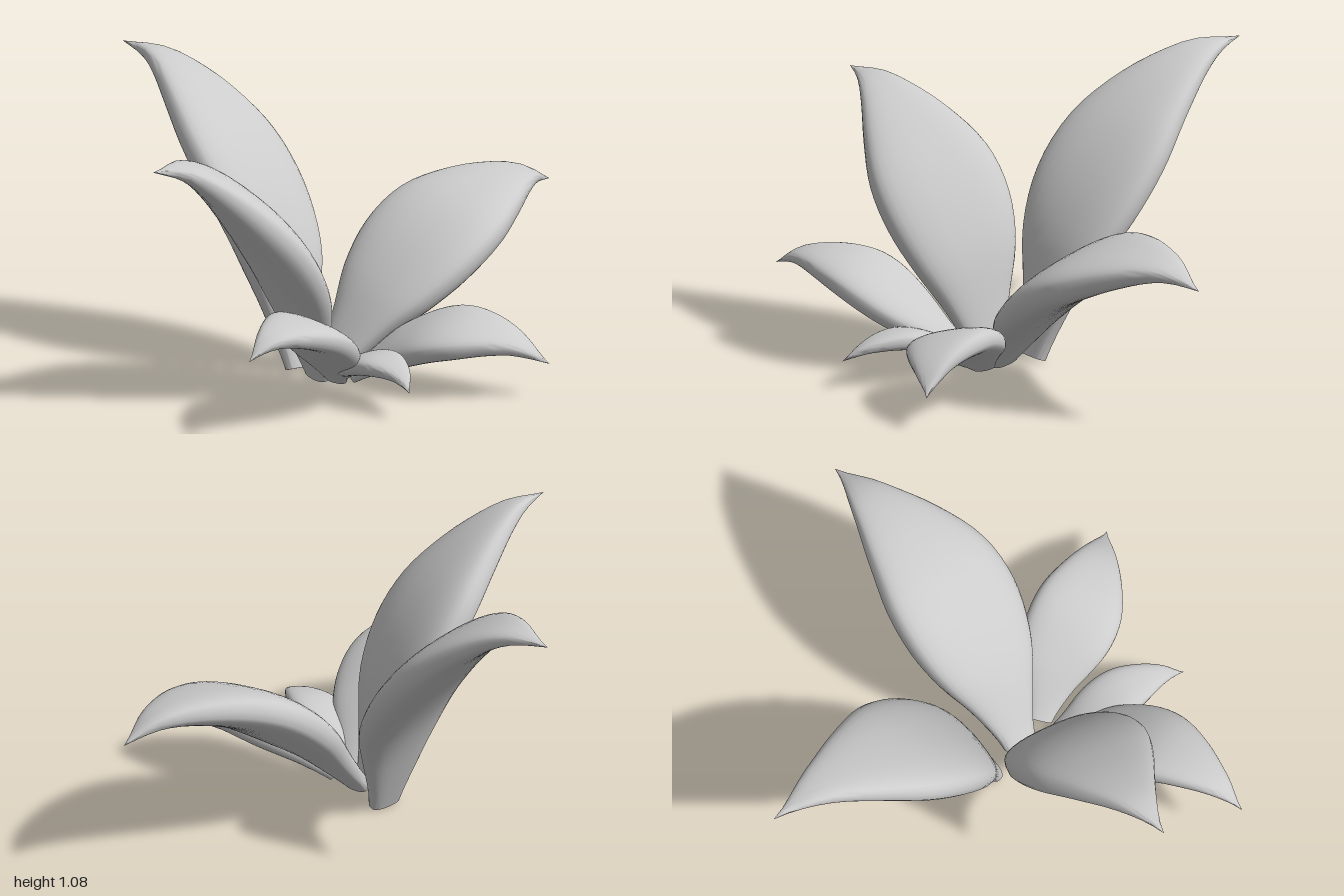
import * as THREE from 'three';
import { toCreasedNormals } from 'three/addons/utils/BufferGeometryUtils.js';

const material = new THREE.MeshStandardMaterial({ color: 0xcccccc });
const UP = new THREE.Vector3(0, 1, 0);
const STEPS = 28, SIDES = 32;

// Width of every leaf from stalk to tip, as a share of its widest point
const outline = new THREE.SplineCurve(
  [0.26, 0.5, 0.82, 0.99, 0.96, 0.7, 0.34, 0].map((w, i) => new THREE.Vector2(i / 7, w)));

const signedPow = (v, e) => Math.sign(v) * Math.pow(Math.abs(v), e);

// Sweep a flat, thick-rimmed section along the spine, closing the base with a flat cap
function makeLeaf(name, halfWidth, halfThickness, roll, spine) {
  const path = new THREE.CatmullRomCurve3(spine.map((p) => new THREE.Vector3(...p)));
  const positions = [], indices = [];

  for (let row = 0; row <= STEPS + 1; row++) {
    const u = Math.max(0, row - 1) / STEPS;
    const centre = path.getPointAt(u), tangent = path.getTangentAt(u);
    const side = UP.clone().cross(tangent).normalize().applyAxisAngle(tangent, roll);
    const normal = tangent.clone().cross(side);
    // The first row is the centre of the cap
    const share = row === 0 ? 0 : Math.max(0, outline.getPoint(u).y);
    const w = halfWidth * share, h = halfThickness * Math.pow(share, 0.75);
    for (let j = 0; j < SIDES; j++) {
      const a = (j / SIDES) * Math.PI * 2;
      const p = centre.clone()
        .addScaledVector(side, w * signedPow(Math.cos(a), 0.85))
        .addScaledVector(normal, h * signedPow(Math.sin(a), 0.65));
      positions.push(p.x, p.y, p.z);
      if (row <= STEPS) {
        const k = (j + 1) % SIDES, r0 = row * SIDES, r1 = r0 + SIDES;
        if (row > 0) indices.push(r0 + j, r0 + k, r1 + k);
        if (row < STEPS) indices.push(r0 + j, r1 + k, r1 + j);
      }
    }
  }
  const geometry = new THREE.BufferGeometry();
  geometry.setAttribute('position', new THREE.Float32BufferAttribute(positions, 3));
  geometry.setIndex(indices);
  const mesh = new THREE.Mesh(toCreasedNormals(geometry, 1.2), material);
  mesh.name = name;
  return mesh;
}

export function createModel() {
  const plant = new THREE.Group();
  plant.name = 'leafRosette';
  plant.add(
    // Three tall leaves
    makeLeaf('backLeaf', 0.25, 0.08, 0.16,
      [[-0.11, 0.015, 0.03], [-0.07, 0.46, -0.12], [-0.04, 0.83, -0.41], [0, 1.045, -0.74], [0.015, 1.07, -0.96]]),
    makeLeaf('leftLeaf', 0.255, 0.085, 0.22,
      [[-0.12, 0.035, 0.175], [0.13, 0.31, 0.24], [0.45, 0.53, 0.28], [0.82, 0.61, 0.29], [1, 0.56, 0.29]]),
    makeLeaf('rightLeaf', 0.255, 0.085, -0.24,
      [[-0.18, 0.03, 0.18], [-0.34, 0.44, 0.175], [-0.55, 0.72, 0.15], [-0.84, 0.94, 0.105], [-1, 0.97, 0.08]]),
    // Three low leaves at the front
    makeLeaf('frontRightLeaf', 0.16, 0.058, -0.2,
      [[-0.18, 0.035, 0.27], [-0.4, 0.22, 0.4], [-0.6, 0.34, 0.47], [-0.83, 0.365, 0.51], [-0.96, 0.31, 0.52]]),
    makeLeaf('smallFrontLeaf', 0.095, 0.04, 0.1,
      [[-0.18, 0.035, 0.28], [-0.23, 0.115, 0.4], [-0.27, 0.165, 0.55], [-0.315, 0.155, 0.7], [-0.36, 0.11, 0.79]]),
    makeLeaf('frontLeftLeaf', 0.17, 0.058, 0.25,
      [[-0.11, 0.035, 0.29], [-0.01, 0.165, 0.47], [0.06, 0.23, 0.65], [0.15, 0.215, 0.83], [0.235, 0.13, 0.96]]),
  );
  return plant;
}
